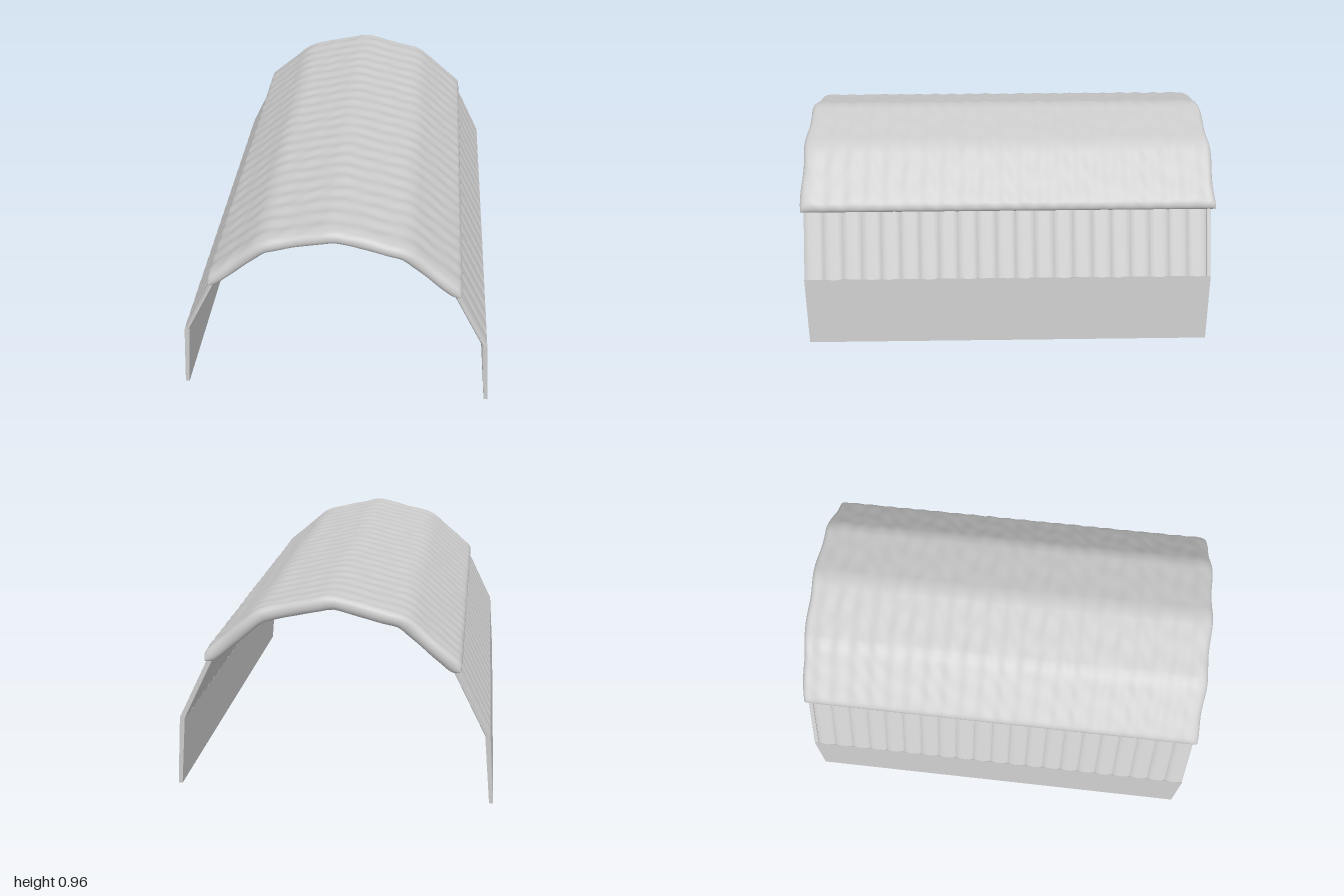
import * as THREE from 'three';
import { mergeVertices, toCreasedNormals } from 'three/addons/utils/BufferGeometryUtils.js';

const PITCH = 0.092, FRONT = 0.98, BACK = -0.972, SLATS = 21;
const ROOF = [[-0.562, 0.637], [-0.31, 0.852], [0, 0.927], [0.31, 0.852], [0.562, 0.637]];
const SLAT_FOOT = [0.692, 0.337], SLAT_HEAD = [0.535, 0.655];
const material = new THREE.MeshStandardMaterial({ color: 0xcccccc });

function addMesh(parent, name, geometry) {
  const mesh = new THREE.Mesh(geometry, material);
  mesh.name = name;
  parent.add(mesh);
}

// Sample positions from 0 to length, crowded in the rounded rim of radius r
function samples(length, r, count) {
  const rim = [0, 1, 2, 3, 4].map(i => r * (1 - Math.cos(i * Math.PI / 10)));
  const list = [...rim];
  for (let i = 0; i <= count; i++) list.push(r + (length - 2 * r) * i / count);
  return list.concat(rim.map(d => length - d).reverse());
}

const rimFactor = (d, length, r) => {
  const e = Math.min(d, length - d, r) / r;
  return Math.sqrt(Math.max(0, 1 - (1 - e) ** 2));
};

// Thick, padded roof sheet that follows a bent line, with cross ripples
function roofGeometry() {
  const lens = [];
  for (let i = 0; i < 4; i++) lens.push(Math.hypot(ROOF[i + 1][0] - ROOF[i][0], ROOF[i + 1][1] - ROOF[i][1]));
  const total = lens.reduce((a, b) => a + b);
  const at = s => {
    let i = 0;
    while (i < 3 && s > lens[i]) s -= lens[i++];
    const t = s / lens[i];
    return [0, 1].map(k => ROOF[i][k] + (ROOF[i + 1][k] - ROOF[i][k]) * t);
  };
  const length = 1.99, rimU = 0.042, rimV = 0.03;
  const us = samples(total, rimU, 56), vs = samples(length, rimV, 168);
  const positions = [], index = [], w = vs.length;
  for (const side of [1, -1]) {
    const base = positions.length / 3;
    us.forEach((u, i) => vs.forEach((v, j) => {
      // averaging two nearby points softens the bends
      const a = at(u - 0.018), b = at(u + 0.018), z = v - length / 2;
      const l = Math.hypot(b[0] - a[0], b[1] - a[1]);
      const nx = -(b[1] - a[1]) / l, ny = (b[0] - a[0]) / l;
      const ripple = 0.0022 * Math.cos((FRONT - PITCH / 2 - z) * 2 * Math.PI / PITCH)
        + 0.0014 * Math.sin(u * 38 + 2 * Math.sin(z * 19)) * Math.sin(z * 43 + u * 9);
      const h = side * (0.033 + ripple) * rimFactor(u, total, rimU) * rimFactor(v, length, rimV);
      // slightly wavy rim
      const wave = 1 + 0.004 * Math.sin(u * 21 + Math.sign(z)) * Math.abs(z) ** 8;
      positions.push((a[0] + b[0]) / 2 + nx * h, (a[1] + b[1]) / 2 + ny * h, z * wave);
      if (i && j) {
        const d = base + i * w + j, c = d - 1, q = d - w, o = q - 1;
        if (side > 0) index.push(o, q, c, c, q, d);
        else index.push(o, c, q, c, d, q);
      }
    }));
  }
  let geometry = new THREE.BufferGeometry();
  geometry.setAttribute('position', new THREE.Float32BufferAttribute(positions, 3));
  geometry.setIndex(index);
  geometry = mergeVertices(geometry, 1e-5);
  geometry.computeVertexNormals();
  return geometry;
}

// Slat with bulging faces and rounded sides, its width along z, running foot to head
function slatGeometry(side, z, width, mid, edge) {
  const shape = new THREE.Shape();
  const n = 12, half = width / 2;
  for (const face of [1, -1]) for (let i = 0; i <= n; i++) {
    const t = -face * Math.cos(i / n * Math.PI) * -1;
    const x = t * half, y = -face * (edge + (mid - edge) * (1 - t ** 4));
    i || face < 0 ? shape.lineTo(x, y) : shape.moveTo(x, y);
  }
  const dir = new THREE.Vector3(side * (SLAT_HEAD[0] - SLAT_FOOT[0]), SLAT_HEAD[1] - SLAT_FOOT[1], 0);
  const geometry = new THREE.ExtrudeGeometry(shape, { depth: dir.length(), bevelEnabled: false });
  dir.normalize();
  const across = new THREE.Vector3(0, 0, 1);
  const matrix = new THREE.Matrix4().makeBasis(across, dir.clone().cross(across), dir);
  matrix.setPosition(side * SLAT_FOOT[0], SLAT_FOOT[1], z);
  return toCreasedNormals(geometry.applyMatrix4(matrix), 0.6);
}

// Plain lower wall board with a slanted top
function wallGeometry(side) {
  const shape = new THREE.Shape([[0.713, 0], [0.732, 0], [0.703, 0.345], [0.681, 0.333]]
    .map(([x, y]) => new THREE.Vector2(side * x, y)));
  return new THREE.ExtrudeGeometry(shape, { depth: FRONT - BACK, bevelEnabled: false }).translate(0, 0, BACK);
}

export function createModel() {
  const model = new THREE.Group();
  model.name = 'archedShelter';
  addMesh(model, 'roofCover', roofGeometry());
  for (const side of [1, -1]) {
    const wall = new THREE.Group();
    wall.name = side > 0 ? 'leftWall' : 'rightWall';
    addMesh(wall, 'lowerWall', wallGeometry(side));
    for (let i = 0; i < SLATS; i++)
      addMesh(wall, 'wallSlat', slatGeometry(side, FRONT - PITCH * (i + 0.5), PITCH, 0.013, 0.004));
    // narrow closing strip at the back
    const end = FRONT - PITCH * SLATS;
    addMesh(wall, 'endStrip', slatGeometry(side, (end + BACK) / 2, end - BACK, 0.012, 0.009));
    model.add(wall);
  }
  return model;
}
